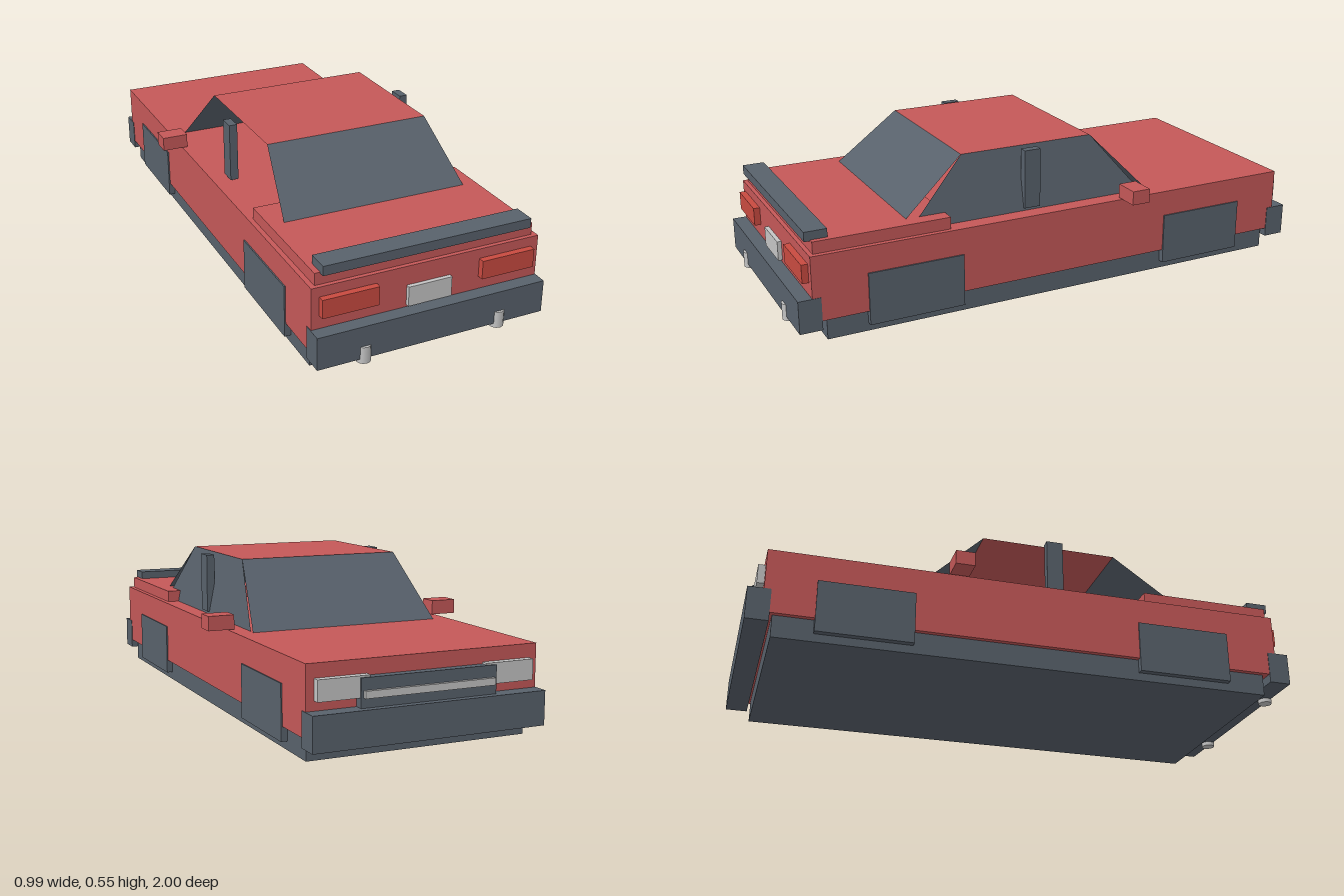
import * as THREE from 'three';

const mat = (name, color, side = THREE.FrontSide) => {
  const m = new THREE.MeshStandardMaterial({ color, side });
  m.name = name;
  return m;
};

export function createModel() {
  const car = new THREE.Group();
  car.name = 'car';
  const red = mat('body red', 0xc45858, THREE.DoubleSide);
  const dark = mat('dark grey', 0x58616b, THREE.DoubleSide);
  const lamp = mat('tail light red', 0xc84a40);
  const silver = mat('silver', 0xc4c4c4);

  const add = (name, geometry, material) => {
    const mesh = new THREE.Mesh(geometry, material);
    mesh.name = name;
    car.add(mesh);
    return mesh;
  };
  // Box given by its extents along each axis
  const box = (name, material, [x0, x1], [y0, y1], [z0, z1]) =>
    add(name, new THREE.BoxGeometry(x1 - x0, y1 - y0, z1 - z0), material)
      .position.set((x0 + x1) / 2, (y0 + y1) / 2, (z0 + z1) / 2);
  // Same box on both sides of the car
  const pair = (name, material, [x0, x1], y, z) => {
    box(name + 'Left', material, [x0, x1], y, z);
    box(name + 'Right', material, [-x1, -x0], y, z);
  };
  // Flat four-cornered panel, corners counter-clockwise from outside
  const panel = (name, material, a, b, c, d) => {
    const g = new THREE.BufferGeometry();
    g.setAttribute('position', new THREE.Float32BufferAttribute([a, b, c, a, c, d].flat(), 3));
    g.computeVertexNormals();
    add(name, g, material);
  };

  // Lower body
  box('chassis', dark, [-0.4, 0.4], [0, 0.08], [-0.91, 0.89]);
  box('body', red, [-0.418, 0.418], [0.08, 0.315], [-0.945, 0.94]);
  box('lid', red, [-0.4, 0.4], [0.315, 0.358], [0.433, 0.925]);
  box('spoiler', dark, [-0.38, 0.38], [0.354, 0.388], [0.865, 0.945]);
  box('lampEndBumper', dark, [-0.42, 0.42], [0.048, 0.166], [0.91, 0.99]);
  box('grilleEndBumper', dark, [-0.42, 0.42], [0.048, 0.166], [-1, -0.92]);

  // Wheel panels
  pair('wheelPanelA', dark, [0.39, 0.423], [0.03, 0.22], [0.395, 0.745]);
  pair('wheelPanelB', dark, [0.39, 0.423], [0.03, 0.22], [-0.77, -0.43]);

  // Cabin
  const top = 0.545, sill = 0.315, rx = 0.31, r0 = -0.162, r1 = 0.352;
  panel('roof', red, [-rx, top, r1], [rx, top, r1], [rx, top, r0], [-rx, top, r0]);
  panel('lidWindow', dark, [-0.348, 0.358, 0.577], [0.348, 0.358, 0.577], [rx, top, r1], [-rx, top, r1]);
  panel('windscreen', dark, [0.36, sill, -0.385], [-0.36, sill, -0.385], [-rx, top, r0], [rx, top, r0]);
  panel('sideWindow', dark, [0.357, sill, 0.57], [0.357, sill, -0.357], [rx, top, r0], [rx, top, r1]);
  pair('pillar', dark, [0.333, 0.363], [0.325, 0.54], [0.068, 0.13]);
  pair('mirror', red, [0.4, 0.496], [0.318, 0.37], [-0.31, -0.24]);

  // Lamps, plate and exhausts
  pair('tailLight', lamp, [0.19, 0.39], [0.213, 0.28], [0.93, 0.963]);
  box('plate', silver, [-0.08, 0.08], [0.175, 0.246], [0.93, 0.955]);
  for (const x of [-0.25, 0.25]) {
    add('exhaust', new THREE.CylinderGeometry(0.025, 0.025, 0.06, 12), silver)
      .position.set(x, 0.063, 0.975);
  }

  // Headlights and grille
  pair('headlight', silver, [0.21, 0.39], [0.198, 0.268], [-0.97, -0.93]);
  box('grille', dark, [-0.245, 0.245], [0.165, 0.262], [-0.976, -0.93]);
  box('grilleStrip', silver, [-0.235, 0.235], [0.198, 0.222], [-0.988, -0.97]);

  return car;
}
